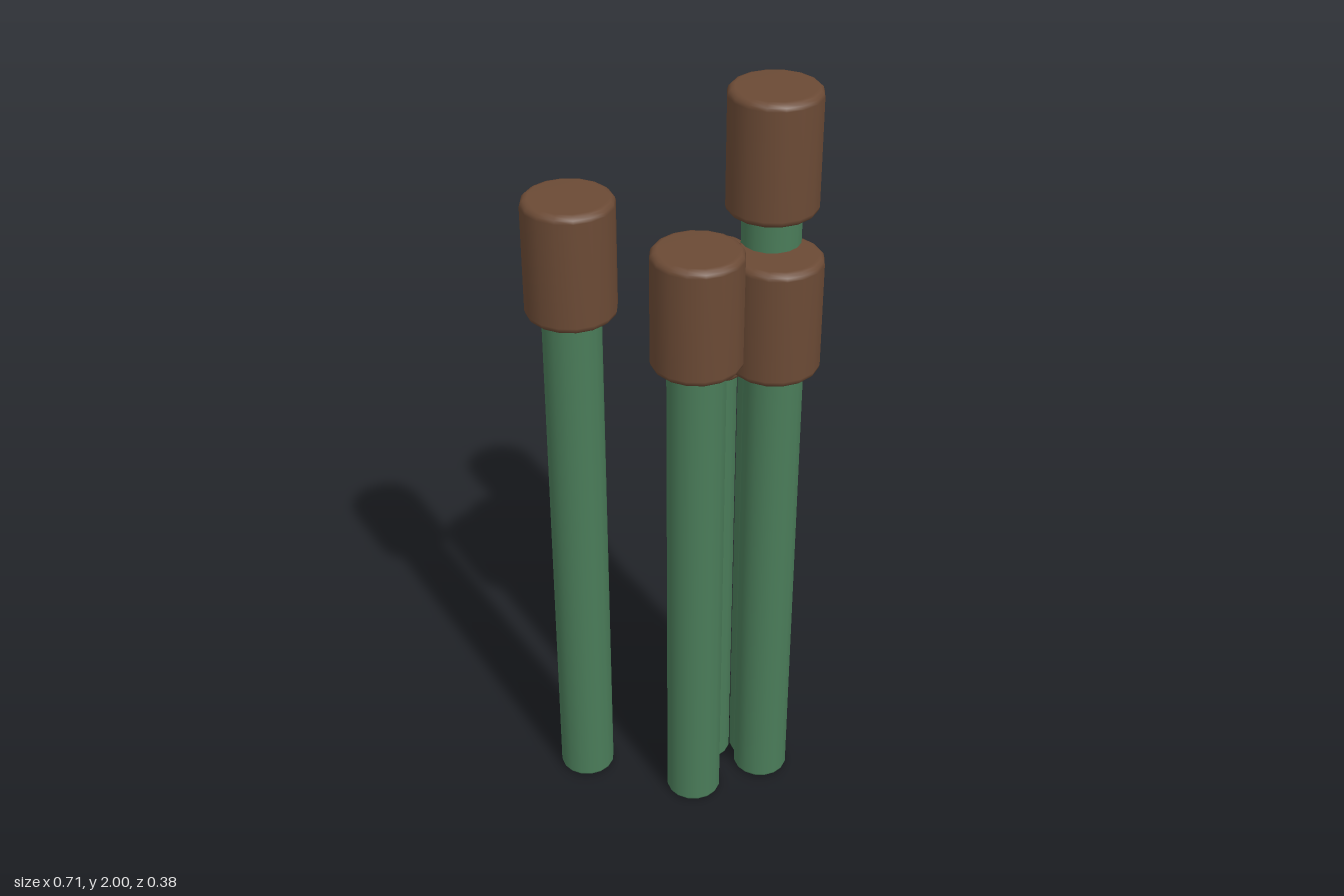
import * as THREE from 'three';

// Upright cylinder from y = 0 with softly rounded rims.
function roundedCylinder(radius, height, bevel) {
  const points = [new THREE.Vector2(0, 0), new THREE.Vector2(radius - bevel, 0)];
  for (const [cy, start] of [[bevel, -Math.PI / 2], [height - bevel, 0]]) {
    for (let i = 0; i <= 3; i++) {
      const a = start + (i / 3) * (Math.PI / 2);
      if (start < 0 && i === 0) continue;
      points.push(new THREE.Vector2(radius - bevel + bevel * Math.cos(a), cy + bevel * Math.sin(a)));
    }
  }
  points.push(new THREE.Vector2(0, height));
  return new THREE.LatheGeometry(points, 16);
}

export function createModel() {
  const group = new THREE.Group();
  group.name = 'reeds';
  const green = new THREE.MeshStandardMaterial({ color: 0x4a7c59 });
  const brown = new THREE.MeshStandardMaterial({ color: 0x6b4a35 });

  const headHeight = 0.306;
  const headGeometry = roundedCylinder(0.113, headHeight, 0.018);

  // Each reed: x, z, height of its top.
  const reeds = [
    [-0.242, -0.071, 1.758],
    [0.038, 0.075, 1.672],
    [0.095, -0.079, 1.582],
    [0.24, -0.059, 2.0],
    [0.24, 0.014, 1.614],
  ];

  for (const [x, z, top] of reeds) {
    const reed = new THREE.Group();
    reed.name = 'reed';
    reed.position.set(x, 0, z);

    // Stem runs up into the seed head
    const stem = new THREE.Mesh(roundedCylinder(0.0735, top - headHeight / 2, 0.01), green);
    stem.name = 'stem';

    const head = new THREE.Mesh(headGeometry, brown);
    head.name = 'seedHead';
    head.position.y = top - headHeight;

    reed.add(stem, head);
    group.add(reed);
  }
  return group;
}
